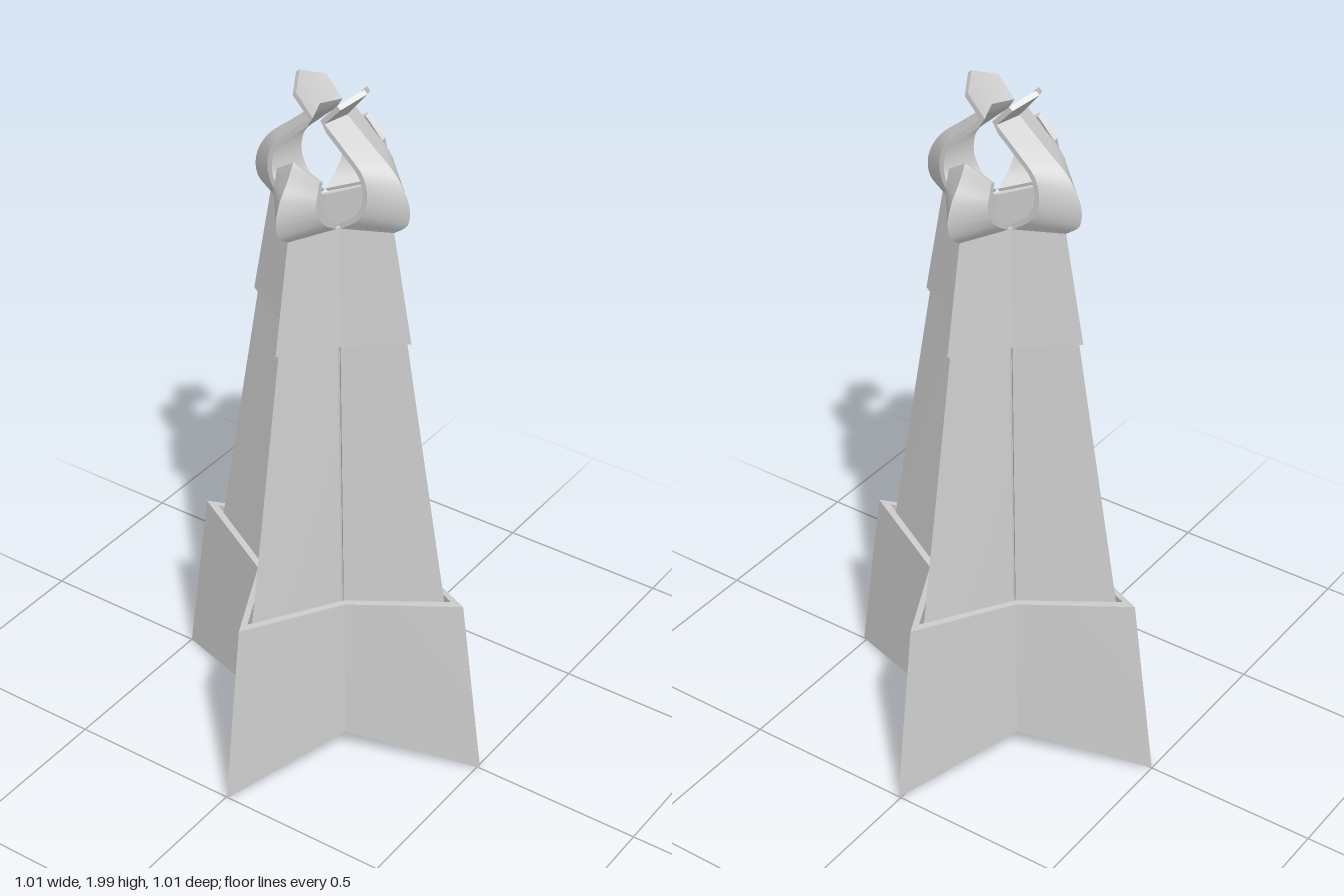
import * as THREE from 'three';
import { toCreasedNormals } from 'three/addons/utils/BufferGeometryUtils.js';

// Skin a stack of six-point V sections: outer edge, ridge, edge, then inner edge, ridge, edge
function skinSections(rows) {
  const pos = [];
  const tri = (a, b, c) => pos.push(...a, ...b, ...c);
  const quad = (a, b, c, d) => { tri(a, b, c); tri(a, c, d); };
  for (let i = 0; i < rows.length - 1; i++) {
    const lo = rows[i], hi = rows[i + 1];
    for (let k = 0; k < 6; k++) {
      const n = (k + 1) % 6;
      // the fold always runs from the lower ridge to the upper edge
      if (k === 0 || k === 3) quad(lo[n], hi[n], hi[k], lo[k]);
      else quad(lo[k], lo[n], hi[n], hi[k]);
    }
  }
  const top = rows[rows.length - 1], base = rows[0];
  quad(top[0], top[1], top[4], top[5]);
  quad(top[1], top[2], top[3], top[4]);
  quad(base[5], base[4], base[1], base[0]);
  quad(base[4], base[3], base[2], base[1]);
  const geo = new THREE.BufferGeometry();
  geo.setAttribute('position', new THREE.Float32BufferAttribute(pos, 3));
  return toCreasedNormals(geo, 0.5);
}

// Wing of a star-shaped tier; each level is [ridge radius, ridge y, valley offset, valley y]
function wing(levels, t, gap = 0) {
  return skinSections(levels.map(([r, ry, v, vy]) => {
    const w = v - gap, iv = v - t, iw = iv - gap;
    return [[-w, vy, v], [0, ry, r], [w, vy, v], [iw, vy, iv], [0, ry, r - 3 * t], [-iw, vy, iv]];
  }));
}

// Curved claw; ridge and edge are matching paths of [radius, y], tip is an optional flared end
function claw(ridge, edge, halfWidth, t, tip) {
  const sample = (path) => new THREE.CatmullRomCurve3(
    path.map(([r, y]) => new THREE.Vector3(0, y, r))).getPoints((path.length - 1) * 4);
  const ridgePts = sample(ridge), edgePts = sample(edge);
  if (tip) {
    ridgePts.push(new THREE.Vector3(0, tip.ridge[1], tip.ridge[0]));
    edgePts.push(new THREE.Vector3(0, tip.edge[1], tip.edge[0]));
  }
  // shift each point towards the inner side of its path
  const inner = (pts) => pts.map((p, i) => {
    const d = pts[Math.min(i + 1, pts.length - 1)].clone().sub(pts[Math.max(i - 1, 0)]).normalize();
    return new THREE.Vector3(0, p.y + d.z * t, p.z - d.y * t);
  });
  const ri = inner(ridgePts), ei = inner(edgePts), w = halfWidth;
  return skinSections(ridgePts.map((r, i) => {
    const e = edgePts[i];
    return [[-w, e.y, e.z], [0, r.y, r.z], [w, e.y, e.z],
      [w, ei[i].y, ei[i].z], [0, ri[i].y, ri[i].z], [-w, ei[i].y, ei[i].z]];
  }));
}

export function createModel() {
  const model = new THREE.Group();
  const material = new THREE.MeshStandardMaterial({ color: 0xcccccc, side: THREE.DoubleSide });

  // Three hollow tiers
  const skirt = wing([[0.505, 0.005, 0.158, 0.08], [0.432, 0.54, 0.146, 0.515]], 0.013);
  const shaft = wing([[0.377, 0.5, 0.123, 0.48], [0.237, 1.31, 0.081, 1.295]], 0.009, 0.005);
  const collar = wing([[0.25, 1.31, 0.088, 1.29], [0.192, 1.62, 0.066, 1.625]], 0.007);

  // Short claws at front and back
  const shortClaw = claw(
    [[0.192, 1.62], [0.23, 1.65], [0.241, 1.70], [0.223, 1.75], [0.192, 1.79], [0.165, 1.835]],
    [[0.075, 1.625], [0.125, 1.66], [0.155, 1.70], [0.16, 1.735], [0.152, 1.765], [0.145, 1.79]],
    0.065, 0.014);

  // Long claws at the sides, with tips flaring back outwards
  const longClaw = claw(
    [[0.192, 1.62], [0.232, 1.655], [0.236, 1.71], [0.2, 1.78], [0.12, 1.85], [0.048, 1.912]],
    [[0.075, 1.625], [0.13, 1.67], [0.152, 1.72], [0.142, 1.79], [0.085, 1.85], [0.024, 1.905]],
    0.065, 0.014, { ridge: [0.108, 1.985], edge: [0.072, 1.957] });

  const sides = ['front', 'left', 'back', 'right'];
  sides.forEach((side, i) => {
    const arm = new THREE.Group();
    arm.name = side + 'Wing';
    const parts = { Skirt: skirt, Shaft: shaft, Collar: collar, Claw: i % 2 ? longClaw : shortClaw };
    for (const [name, geo] of Object.entries(parts)) {
      const mesh = new THREE.Mesh(geo, material);
      mesh.name = side + name;
      arm.add(mesh);
    }
    arm.rotation.y = i * Math.PI / 2;
    arm.position.x = 0.005;
    model.add(arm);
  });
  return model;
}
